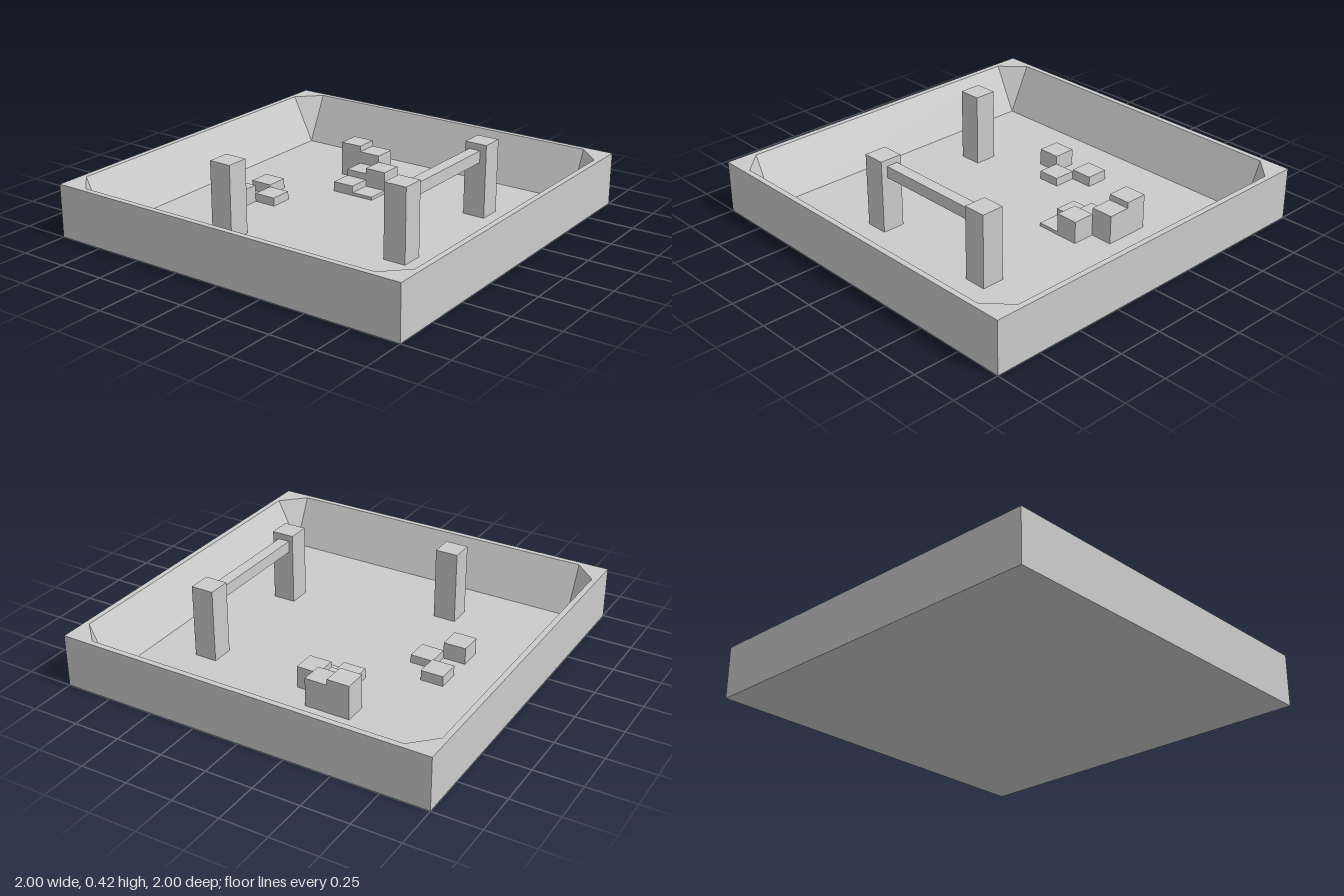
import * as THREE from 'three';

const RIM = 0.28, FLOOR = 0.03; // heights
const LIP = 0.97, BASE = 0.85;  // half widths at the top and foot of the inner slope
const CELL = 0.1215;            // grid on which the blocks stand

export function createModel() {
  const model = new THREE.Group();
  const material = new THREE.MeshStandardMaterial({ color: 0xcccccc, flatShading: true });

  const add = (name, geometry, x = 0, y = 0, z = 0) => {
    const mesh = new THREE.Mesh(geometry, material);
    mesh.name = name;
    mesh.position.set(x, y, z);
    model.add(mesh);
  };

  // Tray: one side and one corner, repeated by quarter turns
  const positions = [];
  const up = new THREE.Vector3(0, 1, 0);
  const polygon = (turn, ...points) => {
    const p = points.map((q) => new THREE.Vector3(...q).applyAxisAngle(up, turn * Math.PI / 2));
    for (let i = 1; i < p.length - 1; i++) {
      for (const v of [p[0], p[i], p[i + 1]]) positions.push(v.x, v.y, v.z);
    }
  };
  for (let k = 0; k < 4; k++) {
    // outer wall, rim and inner slope
    polygon(k, [-1, 0, 1], [1, 0, 1], [1, RIM, 1], [-1, RIM, 1]);
    polygon(k, [-1, RIM, 1], [1, RIM, 1], [LIP, RIM, LIP], [-LIP, RIM, LIP]);
    polygon(k, [-BASE, RIM, LIP], [BASE, RIM, LIP], [BASE, FLOOR, BASE], [-BASE, FLOOR, BASE]);
    // corner facet and the small triangle above it
    polygon(k, [BASE, RIM, LIP], [LIP, RIM, BASE], [BASE, FLOOR, BASE]);
    polygon(k, [BASE, RIM, LIP], [LIP, RIM, LIP], [LIP, RIM, BASE]);
  }
  // floor and underside
  polygon(0, [-BASE, FLOOR, BASE], [BASE, FLOOR, BASE], [BASE, FLOOR, -BASE], [-BASE, FLOOR, -BASE]);
  polygon(0, [-1, 0, -1], [1, 0, -1], [1, 0, 1], [-1, 0, 1]);
  const tray = new THREE.BufferGeometry();
  tray.setAttribute('position', new THREE.Float32BufferAttribute(positions, 3));
  tray.computeVertexNormals();
  add('tray', tray);

  // Square blocks on the floor: name, grid column, grid row, top height
  const blocks = [
    ['gatePostRight', -2.5, 4.5, 0.42],
    ['gatePostLeft', 3.5, 4.5, 0.42],
    ['singlePost', -4.5, -2.5, 0.42],
    ['backBlock', -1.5, -4.5, 0.12],
    ['backBlock', 0.5, -4.5, 0.085],
    ['backBlock', -0.5, -3.5, 0.075],
    ['stairStep', 2.5, -0.5, 0.047],
    ['stairStep', 2.5, -1.5, 0.083],
    ['stairStep', 3.5, -1.5, 0.118],
    ['stairStep', 3.5, -0.5, 0.148],
    ['stairStep', 4.5, -1.5, 0.183],
    ['stairStep', 4.5, -2.5, 0.215],
  ];
  for (const [name, column, row, top] of blocks) {
    const height = top - FLOOR;
    add(name, new THREE.BoxGeometry(CELL, height, CELL), column * CELL, FLOOR + height / 2, row * CELL);
  }

  // Beam between the gate posts
  add('gateBeam', new THREE.BoxGeometry(5 * CELL, 0.063, 0.063), 0.5 * CELL, 0.354, 4.45 * CELL);

  return model;
}
